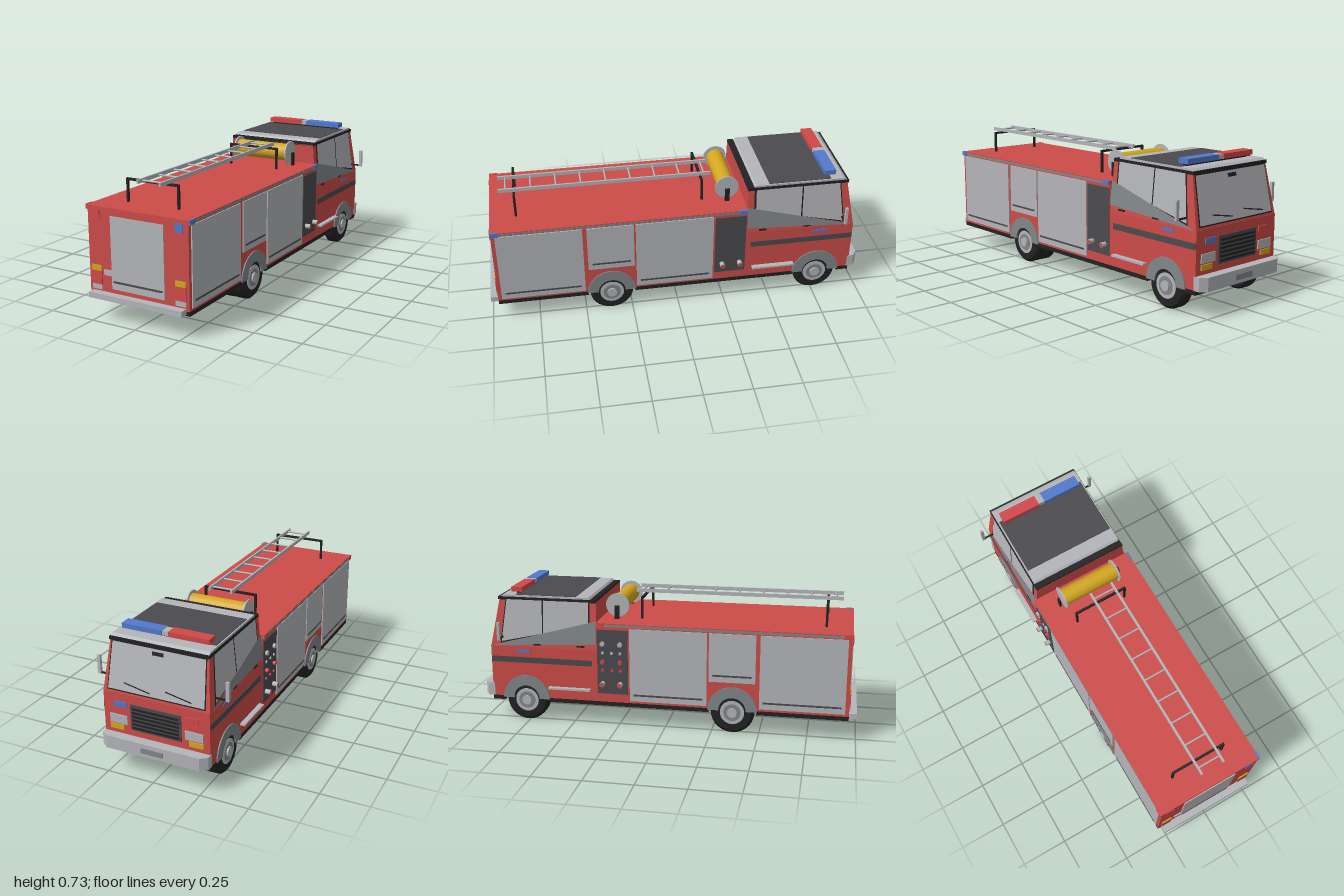
import * as THREE from 'three';
import { toCreasedNormals } from 'three/addons/utils/BufferGeometryUtils.js';

export function createModel() {
  const root = new THREE.Group();
  root.name = 'fireTruck';
  const paint = (name, color) => {
    const m = new THREE.MeshStandardMaterial({ color, side: THREE.DoubleSide });
    m.name = name;
    return m;
  };
  const red = paint('red paint', 0xcc4c48);
  const lampRed = paint('lamp red', 0xd14848);
  const silver = paint('light grey', 0xb4b5b9);
  const grey = paint('mid grey', 0x80868a);
  const dark = paint('dark grey', 0x4b4b4f);
  const black = paint('black', 0x222222);
  const yellow = paint('yellow', 0xd2a720);
  const blue = paint('blue', 0x5179cc);

  const add = (name, geo, mat) => {
    const m = new THREE.Mesh(geo, mat);
    m.name = name;
    root.add(m);
    return m;
  };
  // Box given by its limits on each axis
  const box = (name, mat, x0, x1, y0, y1, z0, z1) => {
    const g = new THREE.BoxGeometry(Math.abs(x1 - x0), y1 - y0, Math.abs(z1 - z0));
    return add(name, g.translate((x0 + x1) / 2, (y0 + y1) / 2, (z0 + z1) / 2), mat);
  };
  // Cylinder along x
  const rod = (name, mat, r, x0, x1, y, z, seg = 24) => {
    const g = new THREE.CylinderGeometry(r, r, Math.abs(x1 - x0), seg).rotateZ(Math.PI / 2);
    return add(name, g.translate((x0 + x1) / 2, y, z), mat);
  };
  // Side profile drawn in (z, y), extruded from x0 to x1
  const extrudeX = (name, mat, shape, x0, x1) => {
    const g = new THREE.ExtrudeGeometry(shape, { depth: x1 - x0, bevelEnabled: false, curveSegments: 20 });
    return add(name, g.rotateY(-Math.PI / 2).translate(x1, 0, 0), mat);
  };
  const poly = (pts) => new THREE.Shape(pts.map(([a, b]) => new THREE.Vector2(a, b)));
  const sides = [-1, 1];

  // Slanted faces of the upper cab
  const sideX = (y) => 0.283 - 0.025 * (y - 0.415) / 0.265;
  const frontZ = (y) => -0.948 + 0.053 * (y - 0.415) / 0.265;
  const sidePlate = (name, mat, s, pts, off) => {
    const g = new THREE.ShapeGeometry(poly(pts)), p = g.attributes.position;
    for (let i = 0; i < p.count; i++) p.setXYZ(i, s * (sideX(p.getY(i)) + off), p.getY(i), p.getX(i));
    g.computeVertexNormals();
    if (s > 0) g.setIndex([...g.index.array].reverse());
    g.computeVertexNormals();
    add(name, g, mat);
  };
  const frontPlate = (name, mat, pts, off) => {
    const g = new THREE.ShapeGeometry(poly(pts)), p = g.attributes.position;
    for (let i = 0; i < p.count; i++) p.setZ(i, frontZ(p.getY(i)) - off);
    g.setIndex([...g.index.array].reverse());
    g.computeVertexNormals();
    add(name, g, mat);
  };

  // Lower body with wheel arches
  const axles = [-0.76, 0.36];
  const body = new THREE.Shape();
  body.moveTo(-0.95, 0.13);
  for (const z of axles) {
    body.lineTo(z - 0.125, 0.13);
    body.absarc(z, 0.13, 0.12, Math.PI, 0, true);
  }
  for (const [z, y] of [[0.96, 0.13], [0.96, 0.56], [-0.365, 0.56], [-0.365, 0.415], [-0.95, 0.415]]) body.lineTo(z, y);
  extrudeX('body', red, body, -0.283, 0.283);
  box('roofEdge', red, -0.29, 0.29, 0.545, 0.565, -0.365, 0.963);
  for (const [a, b] of [[-0.95, -0.885], [-0.635, 0.235], [0.485, 0.96]])
    box('underside', black, -0.284, 0.284, 0.11, 0.132, a, b);
  box('chassis', black, -0.135, 0.135, 0.11, 0.25, -0.94, 0.95);

  // Upper cab, tapered by moving the corners of a box
  const cab = new THREE.BoxGeometry(1, 1, 1), cp = cab.attributes.position;
  for (let i = 0; i < cp.count; i++) {
    const y = cp.getY(i) > 0 ? 0.67 : 0.413;
    cp.setXYZ(i, Math.sign(cp.getX(i)) * sideX(y), y, cp.getZ(i) > 0 ? -0.367 : frontZ(y));
  }
  cab.computeVertexNormals();
  add('upperCab', cab, red);
  box('roofRim', black, -0.261, 0.261, 0.664, 0.68, -0.905, -0.367);
  const roof = poly([[-0.895, 0.68], [-0.4, 0.68], [-0.41, 0.69], [-0.88, 0.69]]);
  extrudeX('roof', silver, roof, -0.257, 0.257);
  box('roofPanel', dark, -0.25, 0.25, 0.688, 0.693, -0.81, -0.48);
  frontPlate('windscreenFrame', black, [[-0.262, 0.425], [0.262, 0.425], [0.25, 0.665], [-0.25, 0.665]], 0.002);
  frontPlate('windscreen', silver, [[-0.256, 0.432], [0.256, 0.432], [0.245, 0.66], [-0.245, 0.66]], 0.004);
  for (const x of [-0.19, 0.03])
    frontPlate('wiper', black, [[x, 0.445], [x + 0.14, 0.47], [x + 0.14, 0.476], [x, 0.451]], 0.007);
  frontPlate('insideMirror', black, [[-0.03, 0.63], [0.03, 0.63], [0.03, 0.648], [-0.03, 0.648]], 0.006);

  for (const s of sides) {
    // Cab side windows and trim
    sidePlate('windowFrame', black, s, [[-0.4, 0.555], [-0.895, 0.43], [-0.862, 0.674], [-0.4, 0.674]], 0.002);
    sidePlate('sideWindow', silver, s, [[-0.41, 0.555], [-0.655, 0.49], [-0.655, 0.667], [-0.41, 0.667]], 0.004);
    sidePlate('quarterWindow', silver, s, [[-0.662, 0.49], [-0.888, 0.44], [-0.857, 0.667], [-0.662, 0.667]], 0.004);
    sidePlate('cabWedge', grey, s, [[-0.367, 0.57], [-0.367, 0.447], [-0.83, 0.447], [-0.94, 0.416]], 0.006);
    box('cabStripe', dark, s * 0.28, s * 0.286, 0.325, 0.356, -0.948, -0.39);
    box('cabBadge', blue, s * 0.28, s * 0.286, 0.383, 0.398, -0.81, -0.73);
    for (const z of [-0.45, -0.69]) box('doorHandle', black, s * 0.28, s * 0.289, 0.427, 0.434, z - 0.02, z + 0.02);
    box('stepRail', silver, s * 0.283, s * 0.31, 0.19, 0.2, -0.63, -0.4);
    // Mirrors
    box('mirrorArm', black, s * 0.27, s * 0.345, 0.461, 0.469, -0.885, -0.877);
    box('mirror', silver, s * 0.333, s * 0.35, 0.46, 0.557, -0.888, -0.874);

    // Roller shutters with pull bars
    for (const [a, b, y] of [[0.5, 0.94, 0.145], [0.235, 0.478, 0.28], [-0.185, 0.225, 0.145]]) {
      box('shutter', silver, s * 0.28, s * 0.289, y, 0.54, a, b);
      box('pullBar', dark, s * 0.285, s * 0.292, y + 0.03, y + 0.039, a + 0.02, b - 0.02);
    }
    box('topTrim', grey, s * 0.284, s * 0.291, 0.547, 0.56, -0.365, 0.96);
    for (const z of [0.94, -0.34])
      box('sideMarker', s > 0 ? blue : lampRed, s * 0.283, s * 0.294, 0.543, 0.567, z - 0.02, z + 0.022);

    // Pump panel
    box('pumpPanel', dark, s * 0.28, s * 0.288, 0.18, 0.53, -0.36, -0.195);
    for (const z of [-0.33, -0.235]) {
      rod('outlet', silver, 0.013, s * 0.285, s * 0.316, 0.236, z, 16);
      rod('outletCap', lampRed, 0.011, s * 0.315, s * 0.318, 0.236, z, 16);
      if (s < 0) {
        rod('gauge', silver, 0.013, -0.285, -0.3, 0.455, z, 16);
        rod('valve', lampRed, 0.011, -0.285, -0.304, 0.357, z, 16);
      }
    }
    if (s < 0) for (const y of [0.405, 0.31]) for (const z of [-0.33, -0.28, -0.235])
      rod('smallKnob', y > 0.4 ? silver : lampRed, 0.008, -0.285, -0.294, y, z, 12);

    // Arch covers and wheels
    for (const z of axles) {
      const arch = new THREE.Shape();
      arch.absarc(z, 0.125, 0.13, 0, Math.PI, false);
      arch.absarc(z, 0.125, 0.072, Math.PI, 0, true);
      extrudeX('wheelArch', grey, arch, s > 0 ? 0.28 : -0.289, s > 0 ? 0.289 : -0.28);
      for (const x of z > 0 ? [0.173, 0.243] : [0.243]) {
        const h = 0.036, r = 0.115;
        const prof = [[0, -h], [r - 0.014, -h], [r, -h + 0.014], [r, h - 0.014], [r - 0.014, h], [0, h]];
        const g = toCreasedNormals(new THREE.LatheGeometry(prof.map(([a, b]) => new THREE.Vector2(a, b)), 28), 0.5);
        add('tyre', g.rotateZ(Math.PI / 2).translate(s * x, 0.115, z), black);
      }
      rod('wheelRim', silver, 0.064, s * 0.27, s * 0.282, 0.115, z, 28);
      rod('wheelDish', grey, 0.046, s * 0.28, s * 0.284, 0.115, z);
      rod('hub', silver, 0.026, s * 0.28, s * 0.292, 0.115, z, 16);
    }
    rod('axle', black, 0.025, 0, s * 0.2, 0.115, axles[s > 0 ? 0 : 1], 12);

    // Lamps at both ends
    const lamp = (name, mat, x0, x1, y0, y1) => box(name, mat, s * x0, s * x1, y0, y1, 0.958, 0.966);
    lamp('tailCorner', s > 0 ? blue : lampRed, 0.213, 0.255, 0.503, 0.547);
    lamp('tailIndicator', yellow, 0.21, 0.267, 0.246, 0.273);
    lamp('brakeLamp', lampRed, 0.21, 0.267, 0.178, 0.246);
    lamp('reverseLamp', silver, 0.21, 0.267, 0.153, 0.178);
    box('headlamp', silver, s * 0.155, s * 0.25, 0.255, 0.3, -0.956, -0.948);
    box('frontIndicator', yellow, s * 0.175, s * 0.25, 0.222, 0.248, -0.956, -0.948);
    box('frontFlasher', s > 0 ? blue : lampRed, s * 0.155, s * 0.225, 0.345, 0.372, -0.956, -0.948);
  }

  // Rear shutter, plate and step
  box('rearShutter', silver, -0.15, 0.15, 0.166, 0.526, 0.958, 0.966);
  box('rearPullBar', dark, -0.138, 0.138, 0.2, 0.209, 0.962, 0.97);
  box('rearPlate', silver, -0.195, -0.15, 0.23, 0.257, 0.958, 0.966);
  box('rearStep', silver, -0.265, 0.265, 0.116, 0.144, 0.955, 1);

  // Grille and front bumper
  box('grille', dark, -0.135, 0.135, 0.235, 0.37, -0.956, -0.948);
  for (let i = 0; i < 6; i++) box('grilleBar', black, -0.125, 0.125, 0.245 + i * 0.02, 0.255 + i * 0.02, -0.96, -0.953);
  const bumper = poly([[-0.285, 0.94], [-0.285, 0.975], [-0.25, 1], [0.25, 1], [0.285, 0.975], [0.285, 0.94]]);
  add('frontBumper', new THREE.ExtrudeGeometry(bumper, { depth: 0.068, bevelEnabled: false })
    .rotateX(-Math.PI / 2).translate(0, 0.132, 0), silver);
  box('frontPlate', grey, -0.06, 0.06, 0.15, 0.178, -1.003, -0.998);

  // Light bar
  box('lightBarMount', black, -0.215, 0.215, 0.69, 0.703, -0.815, -0.795);
  box('redBeacon', lampRed, -0.23, -0.018, 0.702, 0.727, -0.84, -0.78);
  box('beaconCentre', silver, -0.018, 0.017, 0.702, 0.725, -0.835, -0.785);
  box('blueBeacon', blue, 0.017, 0.23, 0.702, 0.727, -0.84, -0.78);

  // Hose reel
  rod('hose', yellow, 0.046, -0.157, 0.157, 0.637, -0.275, 32);
  for (const s of sides) {
    rod('reelFlange', silver, 0.063, s * 0.156, s * 0.164, 0.637, -0.275, 32);
    box('reelSupport', black, s * 0.174, s * 0.184, 0.56, 0.637, -0.287, -0.263);
  }

  // Ladder and its stands
  for (const x of [-0.03, 0.095]) box('ladderRail', silver, x - 0.005, x + 0.005, 0.683, 0.702, -0.2, 0.905);
  for (let i = 0; i < 9; i++) rod('ladderRung', silver, 0.005, -0.03, 0.095, 0.692, -0.165 + i * 0.129, 10);
  for (const z of [-0.145, 0.825]) {
    box('standBar', black, -0.148, 0.148, 0.672, 0.683, z - 0.006, z + 0.006);
    for (const s of sides) box('standPost', black, s * 0.139, s * 0.149, 0.56, 0.683, z - 0.006, z + 0.006);
  }
  return root;
}
